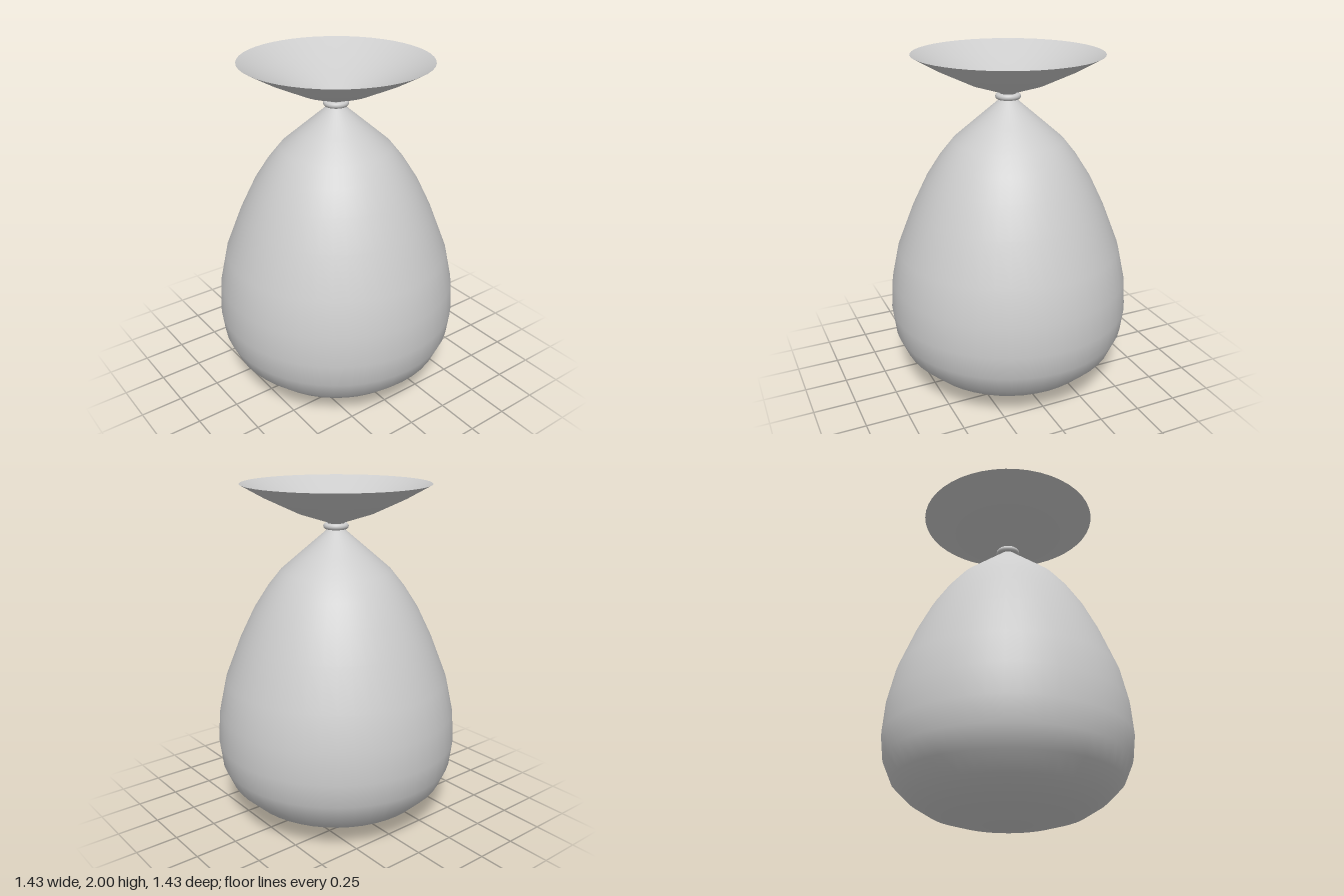
import * as THREE from 'three';

const SEGMENTS = 48;

export function createModel() {
  const group = new THREE.Group();
  const cloth = new THREE.MeshStandardMaterial({ color: 0xcccccc, side: THREE.DoubleSide });
  cloth.name = 'light grey cloth';

  const add = (name, geometry, y = 0) => {
    const mesh = new THREE.Mesh(geometry, cloth);
    mesh.name = name;
    mesh.position.y = y;
    group.add(mesh);
    return mesh;
  };
  const lathe = (profile) =>
    new THREE.LatheGeometry(profile.map(([r, y]) => new THREE.Vector2(r, y)), SEGMENTS);

  // Full, rounded sack tapering to the tied neck
  add('sackBody', lathe([
    [0, 0], [0.17, 0.012], [0.31, 0.035], [0.445, 0.075], [0.556, 0.143],
    [0.65, 0.235], [0.7, 0.35], [0.717, 0.49], [0.704, 0.667], [0.66, 0.868],
    [0.565, 1.11], [0.48, 1.285], [0.4, 1.41], [0.32, 1.51], [0.21, 1.605],
    [0.05, 1.742], [0.033, 1.76],
  ]));

  // Open cloth flaring out above the tie
  add('flaredTop', lathe([
    [0.033, 1.76], [0.05, 1.782], [0.22, 1.837], [0.41, 1.927], [0.54, 2],
  ]));

  // Closed throat at the bottom of the flare
  add('throat', new THREE.CircleGeometry(0.033, SEGMENTS).rotateX(-Math.PI / 2), 1.761);

  // Cord around the neck
  add('tieCord', new THREE.TorusGeometry(0.055, 0.018, 12, SEGMENTS).rotateX(Math.PI / 2), 1.761);

  return group;
}
